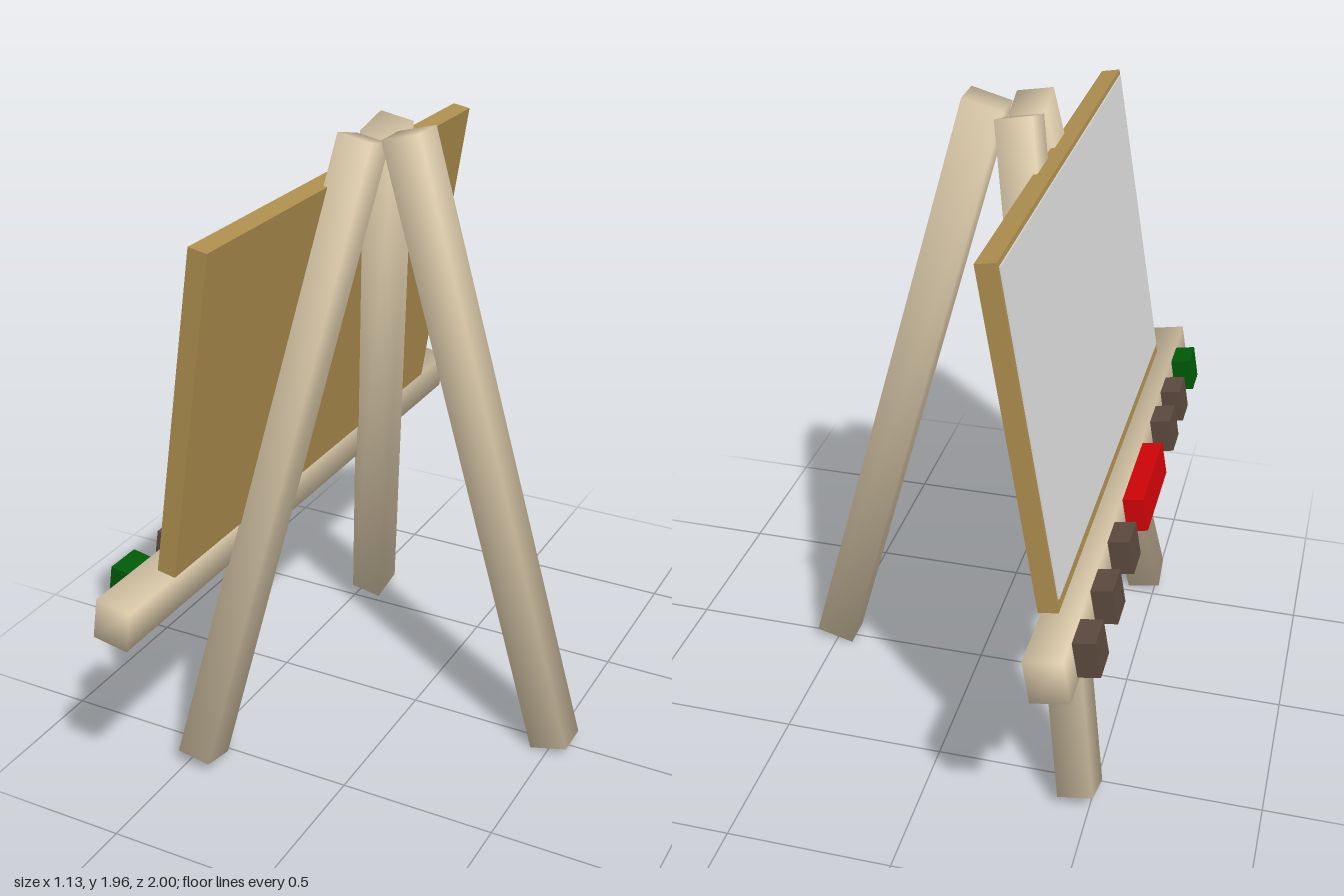
import * as THREE from 'three';
import { mergeVertices } from 'three/addons/utils/BufferGeometryUtils.js';

const LEAN = THREE.MathUtils.degToRad(10);
const SPLAY = THREE.MathUtils.degToRad(14.8);
const BACK_TILT = THREE.MathUtils.degToRad(15.1);

function material(name, color) {
  const m = new THREE.MeshStandardMaterial({ color });
  m.name = name;
  return m;
}

// Square beam with welded corners whose normals point diagonally outwards, for soft shading
function beamGeometry(x, y, z) {
  const box = new THREE.BoxGeometry(x, y, z);
  box.deleteAttribute('normal');
  box.deleteAttribute('uv');
  const beam = mergeVertices(box);
  const normals = Array.from(beam.attributes.position.array, (v) => Math.sign(v) / Math.sqrt(3));
  beam.setAttribute('normal', new THREE.Float32BufferAttribute(normals, 3));
  return beam;
}

export function createModel() {
  const model = new THREE.Group();
  model.name = 'easel';

  const paleWood = material('pale wood', 0xdccbab);
  const boardWood = material('board wood', 0xae8e4e);
  const slate = material('grey slate', 0xdadada);
  const brown = material('brown', 0x5c4a3e);
  const red = material('red', 0xd00408);
  const green = material('green', 0x005a08);

  const add = (name, geometry, mat, position, tiltZ, tiltX = 0, parent = model) => {
    const mesh = new THREE.Mesh(geometry, mat);
    mesh.name = name;
    mesh.position.set(...position);
    mesh.rotation.set(tiltX, 0, tiltZ, 'ZYX');
    parent.add(mesh);
    return mesh;
  };

  // Tripod: a splayed pair under the board and one leg behind
  const pairLeg = beamGeometry(0.109, 1.994, 0.125);
  for (const side of [1, -1]) {
    add(side > 0 ? 'leftSplayedLeg' : 'rightSplayedLeg', pairLeg, paleWood,
      [-0.295, 0.985, side * 0.326], -LEAN, -side * SPLAY);
  }
  add('supportLeg', beamGeometry(0.125, 1.996, 0.109), paleWood, [0.245, 0.985, 0.012], BACK_TILT);

  // Ledge that carries the board
  add('ledge', beamGeometry(0.111, 0.13, 2), paleWood, [-0.44, 0.755, 0], -LEAN);

  // Board with a thin slate panel on its face
  const board = add('board', new THREE.BoxGeometry(0.058, 1.01, 1.58), boardWood,
    [-0.309, 1.317, 0], -LEAN);
  add('slatePanel', new THREE.BoxGeometry(0.006, 0.96, 1.555), slate,
    [-0.03, 0.01, 0], 0, 0, board);

  // Row of coloured blocks along the ledge: centre z, width, colour
  const blocks = [
    [-0.85, 0.11, brown], [-0.61, 0.11, brown], [-0.365, 0.11, brown],
    [-0.015, 0.345, red],
    [0.352, 0.11, brown], [0.558, 0.11, brown], [0.787, 0.11, green],
  ];
  blocks.forEach(([z, width, mat], i) => {
    add(`ledgeBlock${i + 1}`, new THREE.BoxGeometry(0.064, 0.108, width), mat,
      [-0.525, 0.773, z], -LEAN);
  });

  return model;
}
